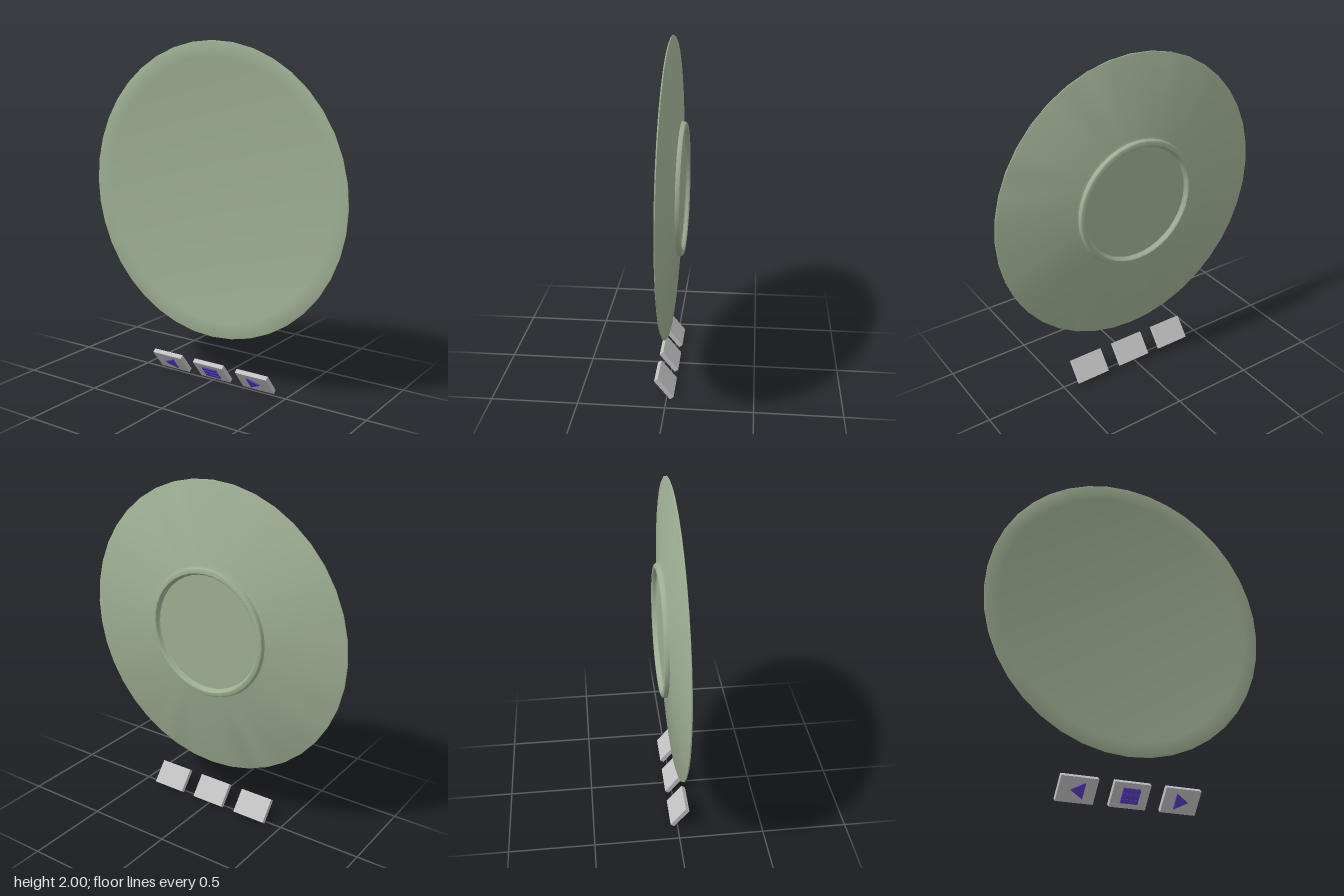
import * as THREE from 'three';
import { toCreasedNormals } from 'three/addons/utils/BufferGeometryUtils.js';

const green = new THREE.MeshStandardMaterial({ name: 'sage green', color: 0x9dae92 });
const grey = new THREE.MeshStandardMaterial({ name: 'light grey', color: 0xc0c0c0 });
const purple = new THREE.MeshStandardMaterial({ name: 'purple', color: 0x5a3cc0 });

function addMesh(parent, name, geometry, material, x = 0, y = 0, z = 0) {
  const mesh = new THREE.Mesh(geometry, material);
  mesh.name = name;
  mesh.position.set(x, y, z);
  parent.add(mesh);
  return mesh;
}

// Shallow dish: back floor, foot ring, sloping back, thin rim, concave front
function plateGeometry() {
  const profile = [
    [0, -0.045], [0.34, -0.045], [0.345, -0.05], [0.348, -0.066], [0.355, -0.073],
    [0.372, -0.073], [0.38, -0.069], [0.384, -0.06], [0.385, -0.045], [0.4, -0.039],
    [0.855, 0.003], [0.862, 0.007], [0.8625, 0.012], [0.858, 0.014],
  ];
  for (let i = 9; i >= 0; i--) {
    const t = i / 10;
    profile.push([0.858 * t, -0.032 + 0.046 * t * t]);
  }
  const points = profile.map(([r, z]) => new THREE.Vector2(r, z));
  const geometry = new THREE.LatheGeometry(points, 40);
  geometry.rotateX(Math.PI / 2);
  return toCreasedNormals(geometry, 0.6);
}

// Triangle pointing along +x (dir 1) or -x (dir -1)
function arrowGeometry(dir) {
  const shape = new THREE.Shape();
  shape.moveTo(0.04 * dir, 0);
  shape.lineTo(-0.036 * dir, 0.046);
  shape.lineTo(-0.036 * dir, -0.046);
  shape.closePath();
  return new THREE.ExtrudeGeometry(shape, { depth: 0.008, bevelEnabled: false });
}

export function createModel() {
  const model = new THREE.Group();
  model.name = 'plateWithButtons';

  addMesh(model, 'plate', plateGeometry(), green, 0, 1.1375, 0);

  // Three tilted buttons below the plate
  const thickness = 0.027;
  const front = thickness / 2;
  ['previousButton', 'menuButton', 'nextButton'].forEach((name, i) => {
    const button = new THREE.Group();
    button.name = name;
    button.position.set(0.005 + (i - 1) * 0.3, 0.065, 0.014);
    button.rotation.x = 0.68;
    addMesh(button, 'buttonBody', new THREE.BoxGeometry(0.21, 0.146, thickness), grey);

    if (i === 1) {
      // Menu symbol: backing plate with three raised bars
      addMesh(button, 'menuBacking', new THREE.BoxGeometry(0.1, 0.088, 0.005), purple, 0, 0, front + 0.0025);
      for (let k = -1; k <= 1; k++) {
        addMesh(button, 'menuBar', new THREE.BoxGeometry(0.1, 0.022, 0.008), purple, 0, k * 0.031, front + 0.004);
      }
    } else {
      addMesh(button, 'arrow', arrowGeometry(i - 1), purple, 0, 0, front);
    }
    model.add(button);
  });
  return model;
}
